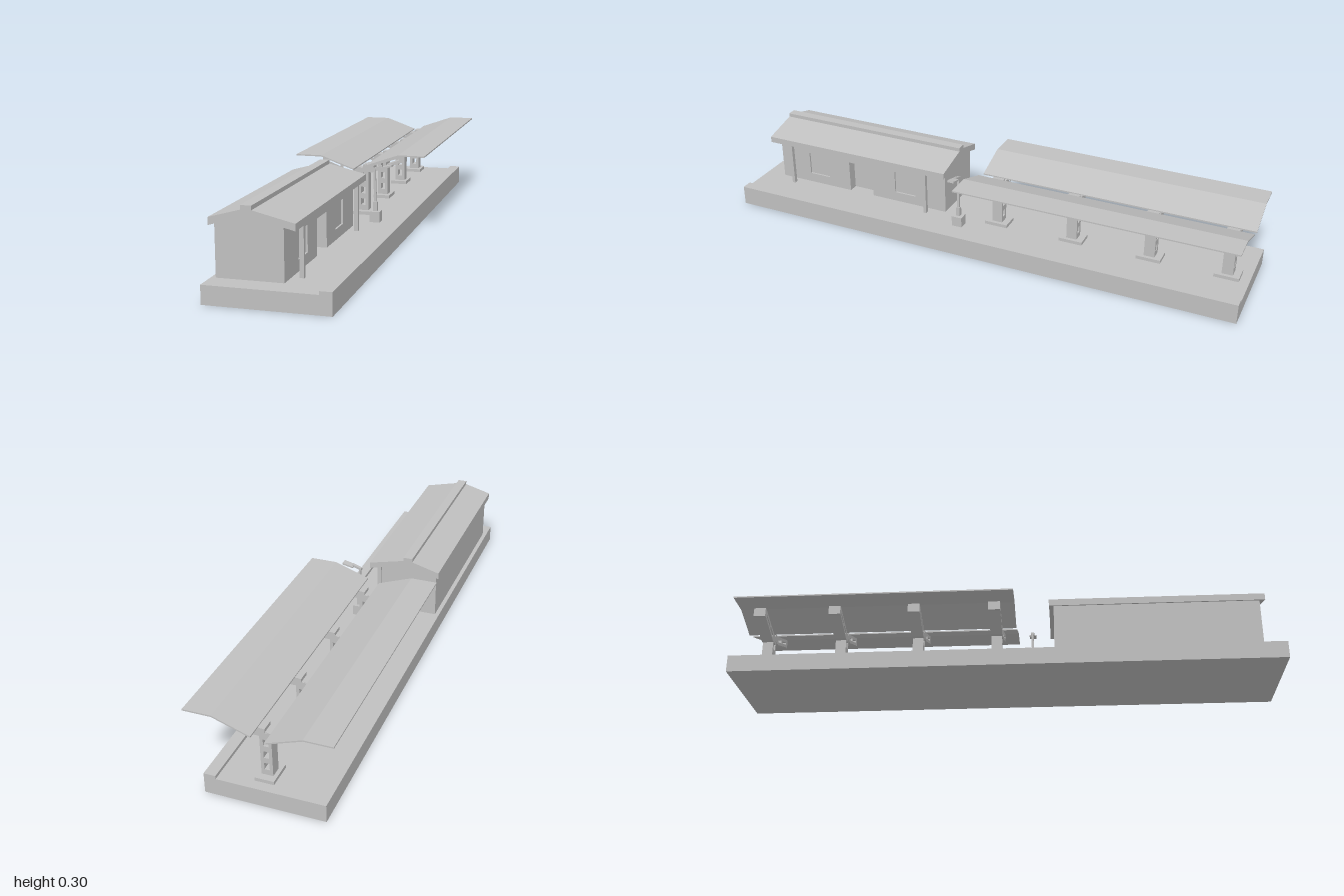
import * as THREE from 'three';

const grey = new THREE.MeshStandardMaterial({ color: 0xc0c0c0 });
grey.name = 'plain grey';

const FLOOR = 0.0625;

function add(parent, name, geometry) {
  const mesh = new THREE.Mesh(geometry, grey);
  mesh.name = name;
  parent.add(mesh);
  return mesh;
}

// Box given by its limits on each axis
function box(parent, name, [x0, x1], [y0, y1], [z0, z1]) {
  const g = new THREE.BoxGeometry(x1 - x0, y1 - y0, z1 - z0);
  g.translate((x0 + x1) / 2, (y0 + y1) / 2, (z0 + z1) / 2);
  return add(parent, name, g);
}

const toPath = (Type, pts) => new Type(pts.map(([x, y]) => new THREE.Vector2(x, y)));
const rect = (x0, x1, y0, y1) => [[x0, y0], [x1, y0], [x1, y1], [x0, y1]];

// Outline in x,y with optional holes, extruded from z0 to z1
function prism(pts, z0, z1, holes = []) {
  const shape = toPath(THREE.Shape, pts);
  holes.forEach((h) => shape.holes.push(toPath(THREE.Path, h)));
  const g = new THREE.ExtrudeGeometry(shape, { depth: z1 - z0, bevelEnabled: false });
  g.translate(0, 0, z0);
  return g;
}

function platform() {
  const g = new THREE.Group();
  g.name = 'platform';
  add(g, 'platformSlab', prism([
    [-0.22, 0], [0.191, 0], [0.191, 0.074], [0.15, 0.074], [0.15, FLOOR], [-0.22, FLOOR],
  ], -1, 1));
  return g;
}

function house() {
  const g = new THREE.Group();
  g.name = 'stationHouse';
  // Main body with gable ends
  add(g, 'houseWalls', prism([
    [-0.204, FLOOR], [-0.02, FLOOR], [-0.02, 0.252], [-0.077, 0.266],
    [-0.112, 0.266], [-0.204, 0.238],
  ], 0.18, 0.92));
  // Platform-side wall with door alcove and two windows (drawn in -z, y)
  const windows = [[-0.79, -0.7], [-0.4, -0.31]];
  const wall = prism([
    [-0.92, FLOOR], [-0.605, FLOOR], [-0.605, 0.187], [-0.5, 0.187],
    [-0.5, FLOOR], [-0.18, FLOOR], [-0.18, 0.243], [-0.92, 0.243],
  ], -0.02, 0.017, windows.map(([a, b]) => rect(a, b, 0.1, 0.19)));
  wall.rotateY(Math.PI / 2);
  add(g, 'doorWall', wall);
  windows.forEach(([a, b]) => box(g, 'windowPane', [-0.02, 0.01], [0.1, 0.19], [-b, -a]));
  // Roof with raised ridge cap
  add(g, 'houseRoof', prism([
    [-0.217, 0.23], [-0.112, 0.262], [-0.077, 0.262], [0.06, 0.229], [0.06, 0.252],
    [-0.077, 0.284], [-0.077, 0.298], [-0.112, 0.298], [-0.112, 0.284], [-0.217, 0.255],
  ], 0.163, 0.938));
  // Porch posts
  for (const z of [0.85, 0.25]) box(g, 'porchPost', [0.042, 0.057], [FLOOR, 0.24], [z - 0.006, z + 0.006]);
  return g;
}

function canopy() {
  const g = new THREE.Group();
  g.name = 'canopy';
  for (const side of [1, -1]) {
    const drop = side > 0 ? 0 : -0.014;
    const flip = (pts) => pts.map(([x, y]) => [x * side, y + drop]);
    // Thin winged roof sheet
    add(g, side > 0 ? 'leftCanopyRoof' : 'rightCanopyRoof', prism(flip([
      [0.022, 0.253], [0.149, 0.298], [0.247, 0.298], [0.247, 0.303], [0.149, 0.303], [0.022, 0.258],
    ]), -0.995, 0.035));
    // Slotted bracket arms
    for (const z of [-0.04, -0.34, -0.637, -0.92]) {
      add(g, 'canopyArm', prism(flip([
        [0, 0.223], [0.037, 0.223], [0.147, 0.265], [0.16, 0.265], [0.16, 0.299],
        [0.149, 0.299], [0.022, 0.254], [0, 0.252],
      ]), z - 0.022, z + 0.022, [
        flip([[0.04, 0.236], [0.078, 0.25], [0.078, 0.262], [0.04, 0.248]]),
        flip([[0.09, 0.255], [0.14, 0.274], [0.14, 0.282], [0.09, 0.265]]),
      ]));
    }
  }
  // Pillars with three openings, each on a foot
  for (const z of [-0.04, -0.34, -0.637, -0.92]) {
    const holes = [0.095, 0.14, 0.185].map((y) => rect(-0.009, 0.009, y, y + 0.025));
    add(g, 'canopyPillar', prism(rect(-0.02, 0.02, FLOOR, 0.24), z - 0.02, z + 0.02, holes));
    box(g, 'pillarFoot', [-0.033, 0.033], [FLOOR, 0.075], [z - 0.045, z + 0.045]);
  }
  return g;
}

function lamp() {
  const g = new THREE.Group();
  g.name = 'platformLamp';
  const z = 0.093;
  box(g, 'lampBase', [0.06, 0.098], [FLOOR, 0.102], [z - 0.02, z + 0.02]);
  box(g, 'lampSocket', [0.07, 0.086], [0.102, 0.137], [z - 0.007, z + 0.007]);
  // Tapering, slightly leaning pole
  add(g, 'lampPole', prism([
    [0.073, 0.137], [0.083, 0.137], [0.078, 0.26], [0.071, 0.26],
  ], z - 0.004, z + 0.004));
  // Tilted lamp head
  add(g, 'lampArm', prism([
    [0.068, 0.254], [0.104, 0.265], [0.104, 0.275], [0.068, 0.262],
  ], z - 0.006, z + 0.006));
  add(g, 'lampHead', prism([
    [0.1, 0.262], [0.142, 0.271], [0.141, 0.278], [0.1, 0.268],
  ], z - 0.013, z + 0.013));
  return g;
}

export function createModel() {
  const model = new THREE.Group();
  model.name = 'railwayPlatform';
  model.add(platform(), house(), canopy(), lamp());
  return model;
}
